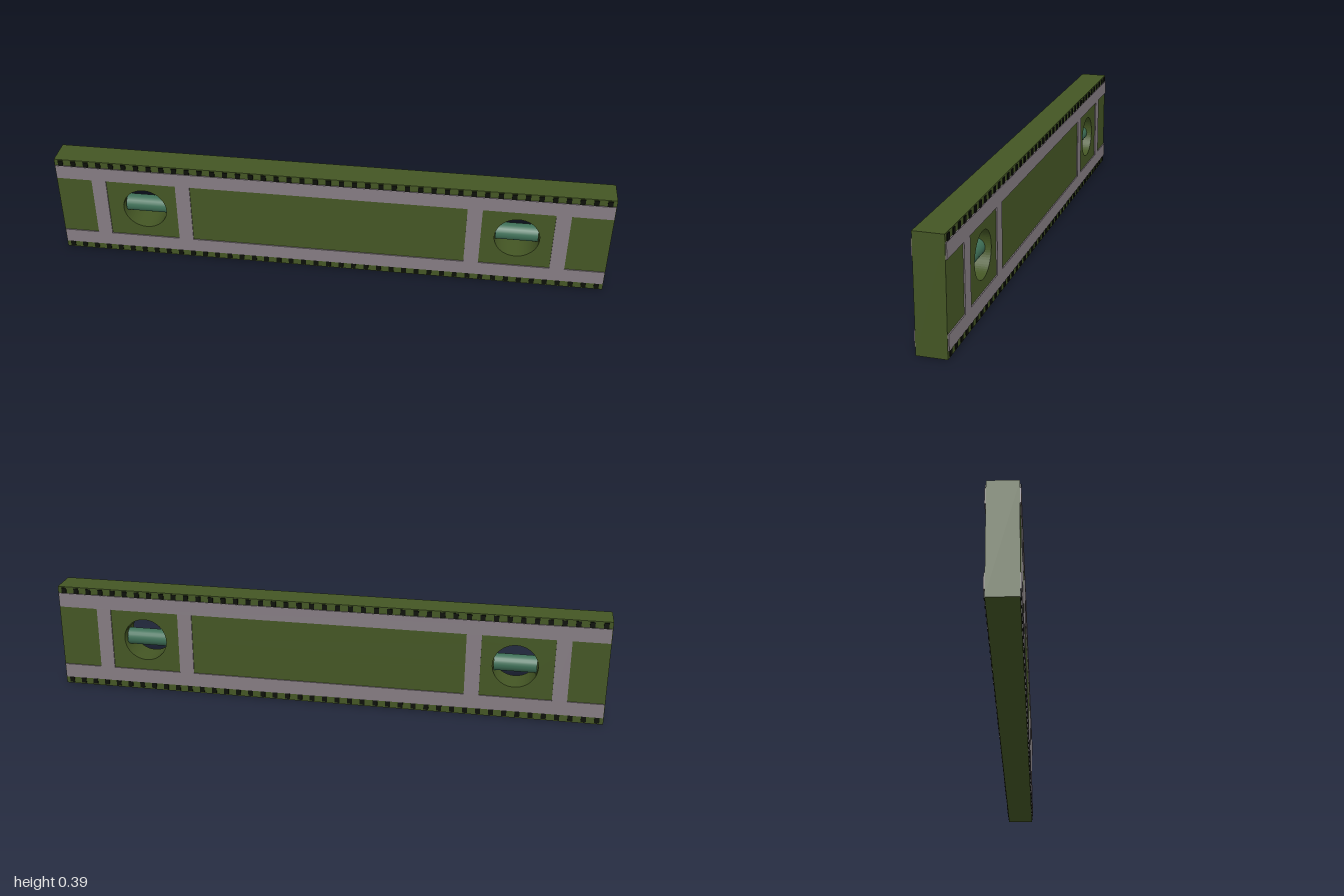
import * as THREE from 'three';

const BODY_H = 0.39, HALF_D = 0.05, HOLE_Y = 0.2, HOLE_R = 0.08;
const HOLES = [-0.68, 0.675];

export function createModel() {
  const group = new THREE.Group();
  const mat = (color) => new THREE.MeshStandardMaterial({ color });
  const green = mat(0x445624), grey = mat(0x857c82), black = mat(0x0c0f08), glass = mat(0x3f7058);

  const add = (name, geometry, material, x = 0, y = 0, z = 0, parent = group) => {
    const mesh = new THREE.Mesh(geometry, material);
    mesh.name = name;
    mesh.position.set(x, y, z);
    parent.add(mesh);
    return mesh;
  };

  // Bar with two round windows
  const outline = new THREE.Shape([
    new THREE.Vector2(-1, 0), new THREE.Vector2(1, 0),
    new THREE.Vector2(1, BODY_H), new THREE.Vector2(-1, BODY_H),
  ]);
  for (const x of HOLES) {
    const hole = new THREE.Path();
    hole.absarc(x, HOLE_Y, HOLE_R, 0, Math.PI * 2, true);
    outline.holes.push(hole);
  }
  const bar = new THREE.ExtrudeGeometry(outline, { depth: HALF_D * 2, bevelEnabled: false, curveSegments: 32 });
  add('body', bar, green, 0, 0, -HALF_D);

  // Bubble vials across the windows
  for (const x of HOLES) {
    const vial = add('vial', new THREE.CylinderGeometry(0.031, 0.031, 0.152, 24), glass, x, 0.193, 0);
    vial.rotation.z = Math.PI / 2;
  }

  // Raised ribs and ruler marks on both faces
  const railGeo = new THREE.BoxGeometry(1.995, 0.053, 0.008);
  const postGeo = new THREE.BoxGeometry(0.053, 0.232, 0.008);
  const tickGeo = new THREE.BoxGeometry(0.018, 0.022, 0.006);
  const TICKS = 43;
  for (const side of [1, -1]) {
    const face = new THREE.Group();
    face.name = side > 0 ? 'frontFace' : 'backFace';
    group.add(face);
    const z = side * HALF_D;
    for (const y of [0.0535, 0.3385]) add('rail', railGeo, grey, 0, y, z, face);
    for (const x of [-0.842, -0.532, 0.52, 0.828]) add('post', postGeo, grey, x, 0.196, z, face);
    for (let i = 0; i < TICKS; i++) {
      const x = -0.977 + (i * 1.954) / (TICKS - 1);
      for (const y of [0.016, 0.375]) add('rulerMark', tickGeo, black, x, y, z, face);
    }
  }
  return group;
}
